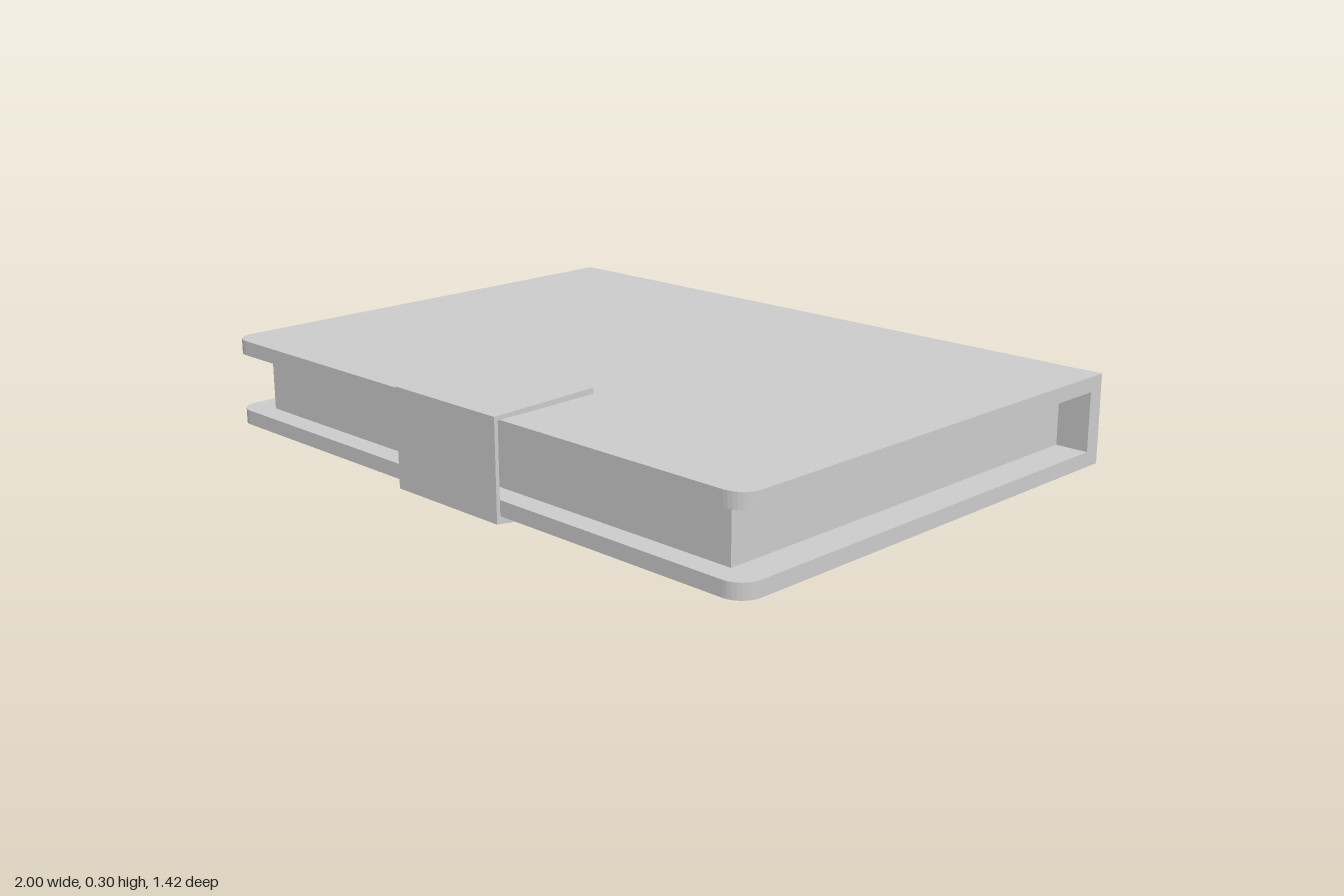
import * as THREE from 'three';

const WIDTH = 1.99, FRONT = 0.69, BACK = -0.709;
const BOTTOM = 0.028, TOP = 0.277, BOARD = 0.042;

export function createModel() {
  const model = new THREE.Group();
  model.name = 'claspedBook';
  const material = new THREE.MeshStandardMaterial({ color: 0xcccccc, flatShading: true });

  const add = (name, geometry, x = 0, y = 0, z = 0) => {
    const mesh = new THREE.Mesh(geometry, material);
    mesh.name = name;
    mesh.position.set(x, y, z);
    model.add(mesh);
  };

  // Cover boards: square at the spine, rounded at the front corners
  const w = WIDTH / 2, r = 0.06;
  const outline = new THREE.Shape();
  outline.moveTo(-w, BACK);
  outline.lineTo(w, BACK);
  outline.lineTo(w, FRONT - r);
  outline.absarc(w - r, FRONT - r, r, 0, Math.PI / 2);
  outline.absarc(-w + r, FRONT - r, r, Math.PI / 2, Math.PI);
  outline.closePath();
  const board = new THREE.ExtrudeGeometry(outline, { depth: BOARD, bevelEnabled: false, curveSegments: 4 });
  board.rotateX(Math.PI / 2);
  add('topCover', board, 0, TOP, 0);
  add('bottomCover', board, 0, BOTTOM + BOARD, 0);

  // Spine and page block fill the gap between the boards
  const gap = TOP - BOTTOM - 2 * BOARD, midY = (TOP + BOTTOM) / 2;
  const spineFront = -0.66, pagesFront = 0.625;
  add('spine', new THREE.BoxGeometry(WIDTH, gap, spineFront - BACK), 0, midY, (spineFront + BACK) / 2);
  add('pages', new THREE.BoxGeometry(1.8, gap, pagesFront - spineFront), 0, midY, (pagesFront + spineFront) / 2);

  // Clasp strap: a side profile (z, y) wrapped around the front edge
  const profile = new THREE.Shape([
    [0.38, 0.297], [0.38, 0.281], [0.696, 0.276], [0.696, BOTTOM], [-0.04, BOTTOM],
    [-0.04, 0.0015], [0.62, 0.0015], [0.707, 0.012], [0.707, 0.288],
  ].map(([z, y]) => new THREE.Vector2(z, y)));
  const strapWidth = 0.394;
  const strap = new THREE.ExtrudeGeometry(profile, { depth: strapWidth, bevelEnabled: false });
  strap.translate(0, 0, -strapWidth / 2);
  strap.rotateY(-Math.PI / 2);
  add('claspStrap', strap, -0.004, 0, 0);

  // The book rests very slightly askew
  model.rotation.set(0, -0.003, 0.006);
  const root = new THREE.Group();
  root.name = 'book';
  root.add(model);
  return root;
}
